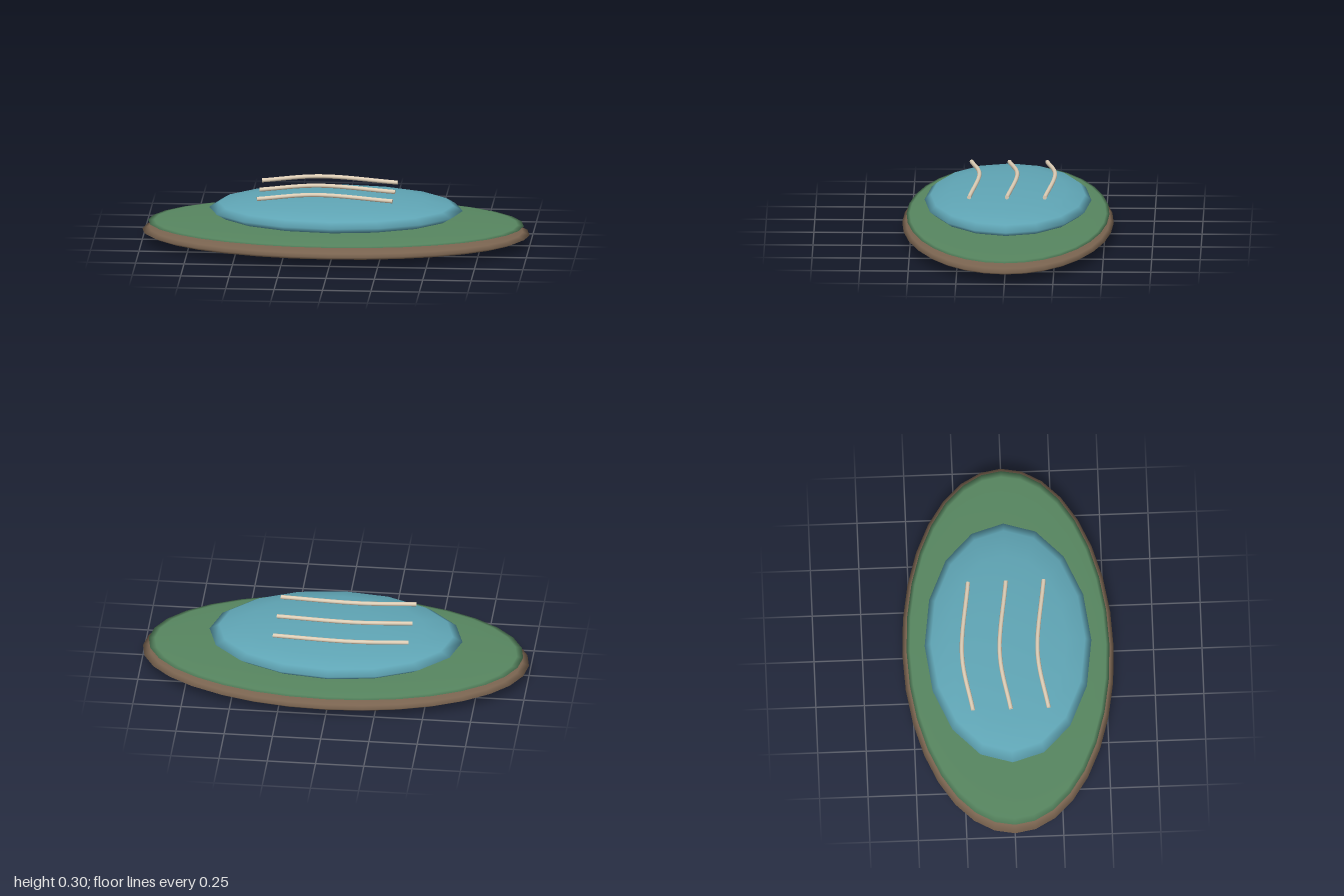
import * as THREE from 'three';

const mat = (name, color) => {
  const m = new THREE.MeshStandardMaterial({ color });
  m.name = name;
  return m;
};

export function createModel() {
  const model = new THREE.Group();
  model.name = 'pond';
  const earth = mat('earth brown', 0x7a6450);
  const grass = mat('grass green', 0x578660);
  const water = mat('water blue', 0x60a6b6);
  const foam = mat('ripple cream', 0xe0d0b8);

  // Flattened ellipsoid discs stacked from the ground up
  const disc = (name, material, rx, ry, rz, y, cols, rows) => {
    const mesh = new THREE.Mesh(new THREE.SphereGeometry(1, cols, rows), material);
    mesh.name = name;
    mesh.scale.set(rx, ry, rz);
    mesh.position.y = y;
    model.add(mesh);
  };
  disc('earthBase', earth, 1, 0.058, 0.545, 0.058, 32, 12);
  disc('grassBank', grass, 0.97, 0.017, 0.523, 0.104, 32, 12);
  disc('waterSurface', water, 0.655, 0.075, 0.43, 0.179, 16, 8);

  // Three gently arched ripples floating above the water
  const radius = 0.011;
  const curve = new THREE.CatmullRomCurve3([
    new THREE.Vector3(-0.395, 0.274, 0),
    new THREE.Vector3(-0.1, 0.289, -0.046),
    new THREE.Vector3(0.305, 0.274, 0),
  ]);
  const tube = new THREE.TubeGeometry(curve, 20, radius, 8);
  const cap = new THREE.CircleGeometry(radius, 8);
  for (const z of [-0.195, 0, 0.195]) {
    const ripple = new THREE.Group();
    ripple.name = 'ripple';
    ripple.position.z = z;
    ripple.add(new THREE.Mesh(tube, foam));
    // Closed ends
    for (const t of [0, 1]) {
      const end = new THREE.Mesh(cap, foam);
      end.name = 'rippleEnd';
      const p = curve.getPoint(t);
      end.position.copy(p);
      end.quaternion.setFromUnitVectors(
        new THREE.Vector3(0, 0, 1),
        curve.getTangent(t).multiplyScalar(t ? 1 : -1)
      );
      ripple.add(end);
    }
    ripple.children[0].name = 'rippleLine';
    model.add(ripple);
  }
  return model;
}
